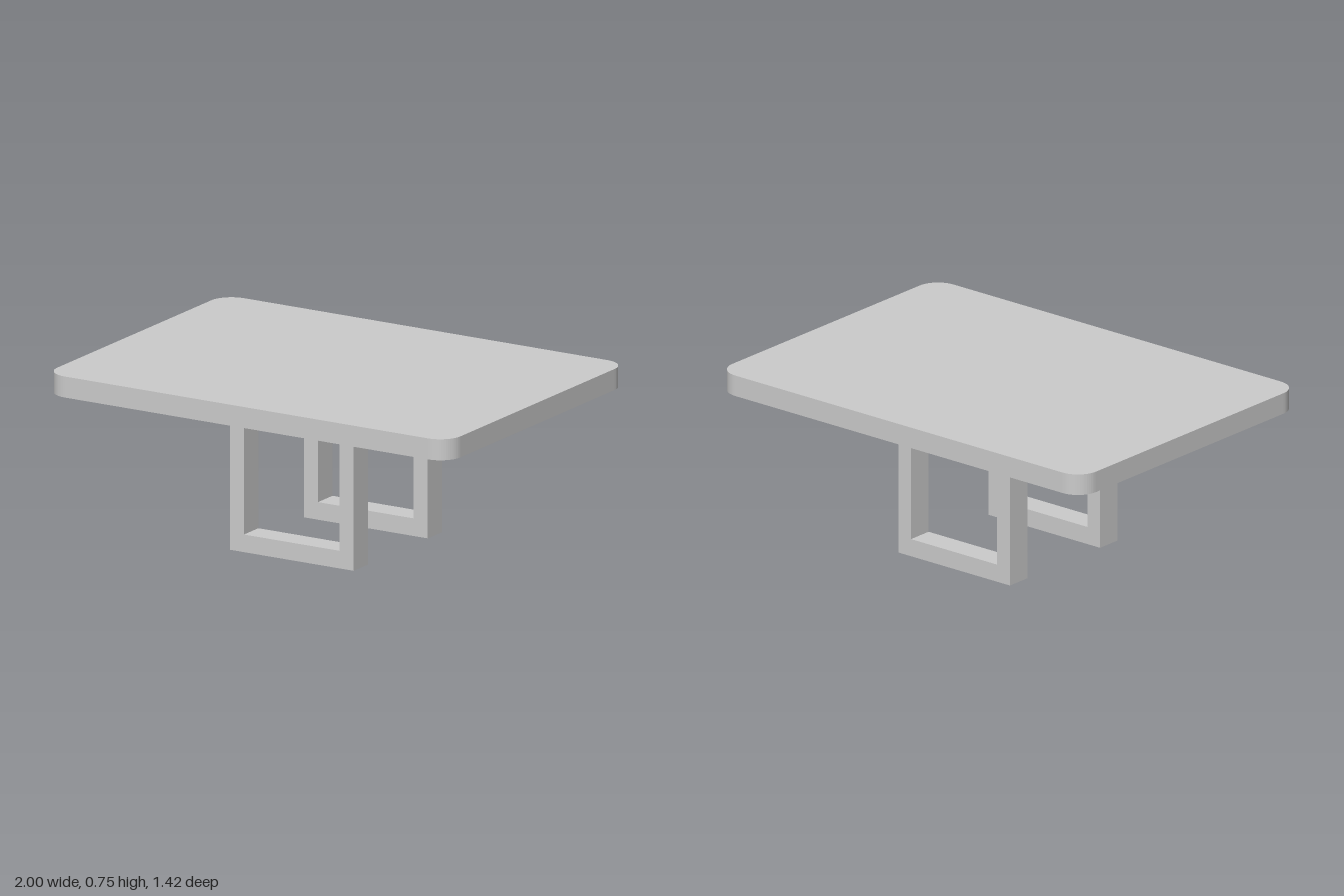
import * as THREE from 'three';

const material = new THREE.MeshStandardMaterial({ color: 0xcccccc, flatShading: true });

// Closed path of a rectangle between two corners
function rectangle(path, x0, y0, x1, y1) {
  path.moveTo(x0, y0);
  path.lineTo(x1, y0);
  path.lineTo(x1, y1);
  path.lineTo(x0, y1);
  path.closePath();
  return path;
}

function roundedRectangle(w, d, r) {
  const x = w / 2, y = d / 2, s = new THREE.Shape();
  s.absarc(x - r, y - r, r, 0, Math.PI / 2);
  s.absarc(-x + r, y - r, r, Math.PI / 2, Math.PI);
  s.absarc(-x + r, -y + r, r, Math.PI, Math.PI * 1.5);
  s.absarc(x - r, -y + r, r, Math.PI * 1.5, Math.PI * 2);
  s.closePath();
  return s;
}

function extrude(name, shape, depth) {
  const geometry = new THREE.ExtrudeGeometry(shape, { depth, bevelEnabled: false, curveSegments: 8 });
  const mesh = new THREE.Mesh(geometry, material);
  mesh.name = name;
  return mesh;
}

export function createModel() {
  const table = new THREE.Group();
  table.name = 'table';
  const under = 0.663, top = 0.755;

  // Slab with rounded corners
  const tabletop = extrude('tabletop', roundedRectangle(2, 1.424, 0.1), top - under);
  tabletop.rotation.x = -Math.PI / 2;
  tabletop.position.y = under;
  table.add(tabletop);

  // Two square leg frames, front and back
  const inner = 0.237, outer = 0.352;
  for (const side of [1, -1]) {
    const shape = rectangle(new THREE.Shape(), -0.307, 0, 0.307, under);
    shape.holes.push(rectangle(new THREE.Path(), -0.237, 0.077, 0.237, 0.545));
    const frame = extrude(side > 0 ? 'frontLegFrame' : 'backLegFrame', shape, outer - inner);
    frame.position.z = side > 0 ? inner : -outer;
    table.add(frame);
  }

  // Block joining the frames under the top
  const block = new THREE.Mesh(new THREE.BoxGeometry(0.474, under - 0.545, inner * 2), material);
  block.name = 'connectingBlock';
  block.position.y = (under + 0.545) / 2;
  table.add(block);

  return table;
}
